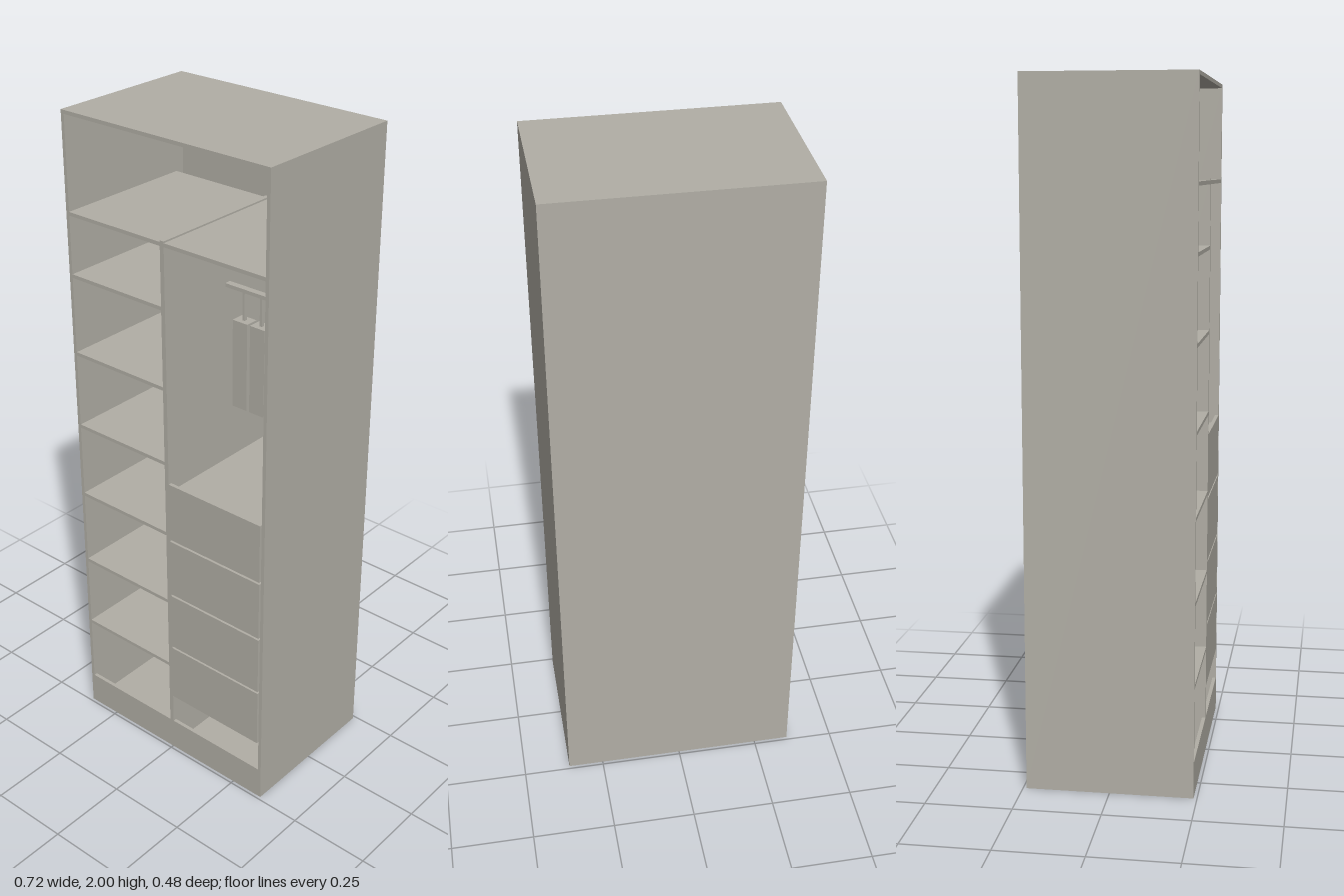
import * as THREE from 'three';

export function createModel() {
  const group = new THREE.Group();
  const board = new THREE.MeshStandardMaterial({ color: 0xb1aea5 });
  board.name = 'warm grey board';

  // Box given by its lower and upper limits on each axis
  function box(name, x0, x1, y0, y1, z0, z1) {
    const mesh = new THREE.Mesh(new THREE.BoxGeometry(x1 - x0, y1 - y0, z1 - z0), board);
    mesh.position.set((x0 + x1) / 2, (y0 + y1) / 2, (z0 + z1) / 2);
    mesh.name = name;
    group.add(mesh);
  }

  const W = 0.358, D = 0.24, T = 0.011, IN = W - T;
  const shelfBack = -0.2, divL = -0.01, divR = 0.004;

  // Carcass
  box('rightSide', -W, -IN, 0, 2, -D, D);
  box('leftSide', IN, W, 0, 2, -D, D);
  box('topPanel', -IN, IN, 2 - T, 2, -D, D);
  box('floorPanel', -IN, IN, 0, T, -D, D);
  box('backPanel', -IN, IN, T, 2 - T, -D, -D + T);
  box('divider', divL, divR, T, 1.72, shelfBack, D);

  // Plinth boards, one per bay
  box('plinthRight', -IN, divL, T, 0.105, D - T, D);
  box('plinthLeft', divR, IN, T, 0.105, D - T, D);

  // Shelves
  for (const top of [1.715, 1.53, 1.287, 1.048, 0.81, 0.568, 0.33]) {
    box('shelf', -IN, divL, top - T, top, shelfBack, D);
  }
  box('upperShelf', divR, IN, 1.715 - T, 1.715, shelfBack, D);

  // Stack of drawers: a front with a slightly lower body behind it
  for (let i = 0; i < 4; i++) {
    const y = 0.205 + i * 0.195;
    box('drawerFront', divR, 0.341, y, y + 0.188, D - T, D);
    box('drawerBody', divR + 0.004, 0.337, y, y + 0.165, shelfBack, D - T);
  }

  // Hanging rail with four garments
  box('rail', 0.02, 0.33, 1.52, 1.531, -0.01, 0.01);
  for (let i = 0; i < 4; i++) {
    const x = 0.082 + i * 0.062;
    box('hangerStem', x - 0.004, x + 0.004, 1.434, 1.52, -0.005, 0.005);
    box('garment', x - 0.026, x + 0.026, 1.163, 1.434, -0.02, 0.02);
  }
  return group;
}
